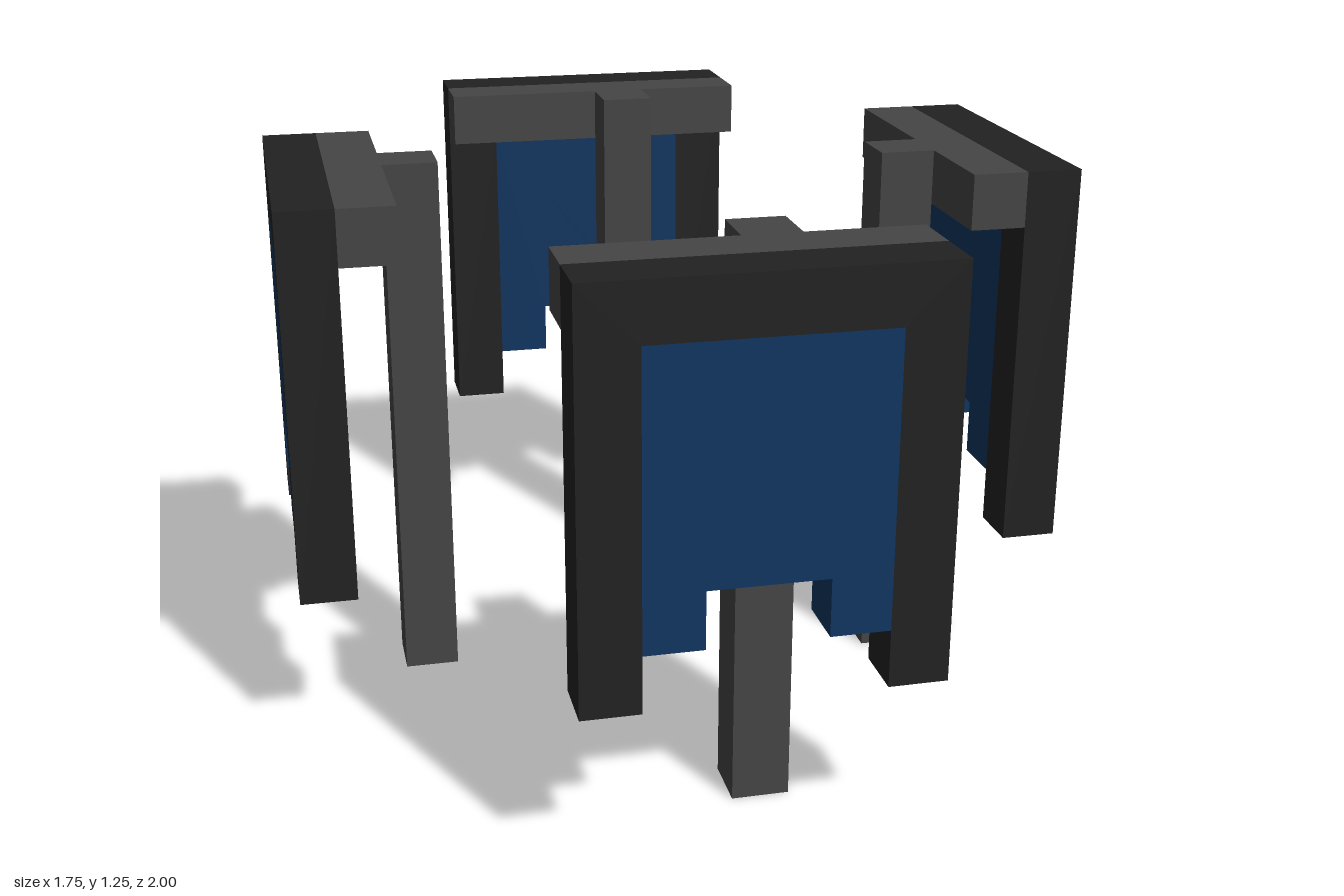
import * as THREE from 'three';

const U = 0.125; // block unit

const material = (name, color) => {
  const m = new THREE.MeshStandardMaterial({ color });
  m.name = name;
  return m;
};

const shape = (points) =>
  new THREE.Shape(points.map(([x, y]) => new THREE.Vector2(x * U, y * U)));

export function createModel() {
  const black = material('black', 0x222222);
  const grey = material('grey', 0x454545);
  const blue = material('blue', 0x0f3560);

  // Outlines in block units
  const frameShape = shape([[-3, 3], [-2, 3], [-2, 9], [2, 9], [2, 3], [3, 3], [3, 10], [-3, 10]]);
  const panelShape = shape([[-2, 4], [-1, 4], [-1, 5], [1, 5], [1, 4], [2, 4], [2, 9], [-2, 9]]);
  const slab = (s) => new THREE.ExtrudeGeometry(s, { depth: U, bevelEnabled: false });

  const add = (group, name, geometry, mat, x, y, z) => {
    const mesh = new THREE.Mesh(geometry, mat);
    mesh.name = name;
    mesh.position.set(x * U, y * U, z * U);
    group.add(mesh);
  };

  // One stand facing outwards: frame and panel, crossbar and post behind it
  const stand = (name, angle, outer, postSide) => {
    const g = new THREE.Group();
    g.name = name;
    add(g, 'frame', slab(frameShape), black, 0, 0, outer - 1);
    add(g, 'panel', slab(panelShape), blue, 0, 0, outer - 1);
    add(g, 'crossbar', new THREE.BoxGeometry(6 * U, U, U), grey, 0, 9.5, outer - 1.5);
    add(g, 'post', new THREE.BoxGeometry(U, 10 * U, U), grey, postSide * 0.5, 5, outer - 2.5);
    g.rotation.y = angle;
    return g;
  };

  const model = new THREE.Group();
  model.name = 'panelStands';
  model.add(
    stand('frontStand', 0, 8, 1),
    stand('backStand', Math.PI, 8, -1),
    stand('leftStand', Math.PI / 2, 7, -1),
    stand('rightStand', -Math.PI / 2, 7, -1),
  );
  return model;
}
